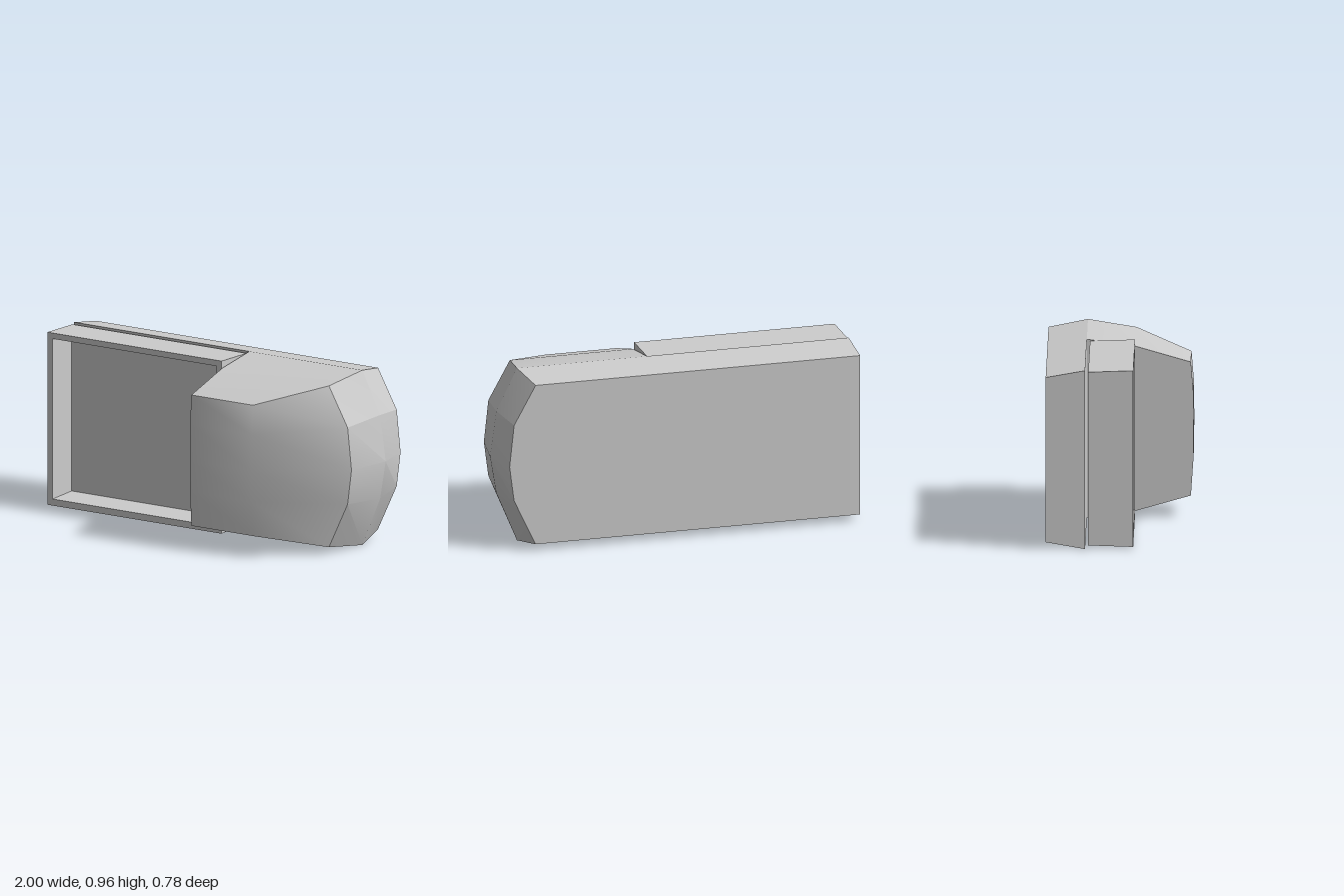
import * as THREE from 'three';
import { toCreasedNormals } from 'three/addons/utils/BufferGeometryUtils.js';

const material = new THREE.MeshStandardMaterial({ color: 0xcccccc });

// Heights of the five horizontal rows at each depth of the casing
const Y = {
  back: [0.037, 0.29, 0.481, 0.712, 0.925],
  mid: [0, 0.273, 0.481, 0.732, 0.962],
  shoulder: [0.037, 0.29, 0.481, 0.712, 0.925],
  front: [0.12, 0.31, 0.481, 0.68, 0.84],
};
const FRONT_Z = [0.375, 0.388, 0.39, 0.388, 0.375];
const RIM = [0.85, 0.965, 1, 0.965, 0.85];
const RIM_INNER = [0.81, 0.93, 0.955, 0.93, 0.81];
const STEP = 0.125;

// L-shaped outline of row i, going round from the back left corner
function outline(i) {
  const p = (x, level, z) => new THREE.Vector3(x, Y[level][i], z);
  return [
    p(-1, 'back', -0.39),
    p(RIM_INNER[i], 'back', -0.39),
    p(RIM[i], 'mid', -0.18),
    p(RIM_INNER[i], 'shoulder', 0.08),
    p(0.52, 'front', FRONT_Z[i]),
    p(STEP, 'front', FRONT_Z[i]),
    p(STEP, 'shoulder', 0.08),
    p(STEP, 'mid', -0.18),
    p(-1, 'mid', -0.18),
  ];
}

function polygonsToGeometry(polygons, crease) {
  const points = [];
  for (const poly of polygons) {
    for (let k = 1; k < poly.length - 1; k++) points.push(poly[0], poly[k], poly[k + 1]);
  }
  return toCreasedNormals(new THREE.BufferGeometry().setFromPoints(points), crease);
}

function addMesh(parent, name, geometry) {
  const mesh = new THREE.Mesh(geometry, material);
  mesh.name = name;
  parent.add(mesh);
  return mesh;
}

function createCasing() {
  const casing = new THREE.Group();
  casing.name = 'casing';
  const rows = [0, 1, 2, 3, 4].map(outline);
  const shell = [];
  const front = [];

  // Walls between neighbouring rows; the rounded front is kept apart
  for (let i = 0; i < 4; i++) {
    for (let j = 0; j < 9; j++) {
      const k = (j + 1) % 9;
      const quad = [rows[i][j], rows[i + 1][j], rows[i + 1][k], rows[i][k]];
      (j === 3 || j === 4 ? front : shell).push(quad);
    }
  }

  // Sloping top and bottom faces
  for (const face of [[0, 1, 2, 7, 8], [7, 2, 3, 6], [6, 3, 4, 5]]) {
    shell.push(face.map((j) => rows[0][j]));
    shell.push(face.map((j) => rows[4][j]).reverse());
  }

  addMesh(casing, 'casingShell', polygonsToGeometry(shell, 0.28));
  addMesh(casing, 'roundedFront', polygonsToGeometry(front, 0.9));
  return casing;
}

function rectangle(PathType, x0, y0, x1, y1) {
  return new PathType([[x0, y0], [x1, y0], [x1, y1], [x0, y1]].map(([x, y]) => new THREE.Vector2(x, y)));
}

function createTray() {
  const tray = new THREE.Group();
  tray.name = 'tray';

  // Open frame, slightly lower towards the back
  const shape = rectangle(THREE.Shape, -1, 0.012, 0.118, 0.962);
  shape.holes.push(rectangle(THREE.Path, -0.967, 0.048, 0.085, 0.93));
  const frame = new THREE.ExtrudeGeometry(shape, { depth: 0.24, bevelEnabled: false });
  frame.translate(0, 0, -0.163);
  const pos = frame.attributes.position;
  for (let i = 0; i < pos.count; i++) {
    const taper = 1 - 0.07 * (0.077 - pos.getZ(i));
    pos.setY(i, 0.487 + (pos.getY(i) - 0.487) * taper);
  }
  frame.computeVertexNormals();
  addMesh(tray, 'trayFrame', frame);

  // Floor of the recess
  const floor = new THREE.BoxGeometry(1.08, 0.91, 0.055);
  addMesh(tray, 'trayFloor', floor).position.set(-0.441, 0.488, -0.133);
  return tray;
}

export function createModel() {
  const model = new THREE.Group();
  model.name = 'model';
  model.add(createCasing(), createTray());
  return model;
}
